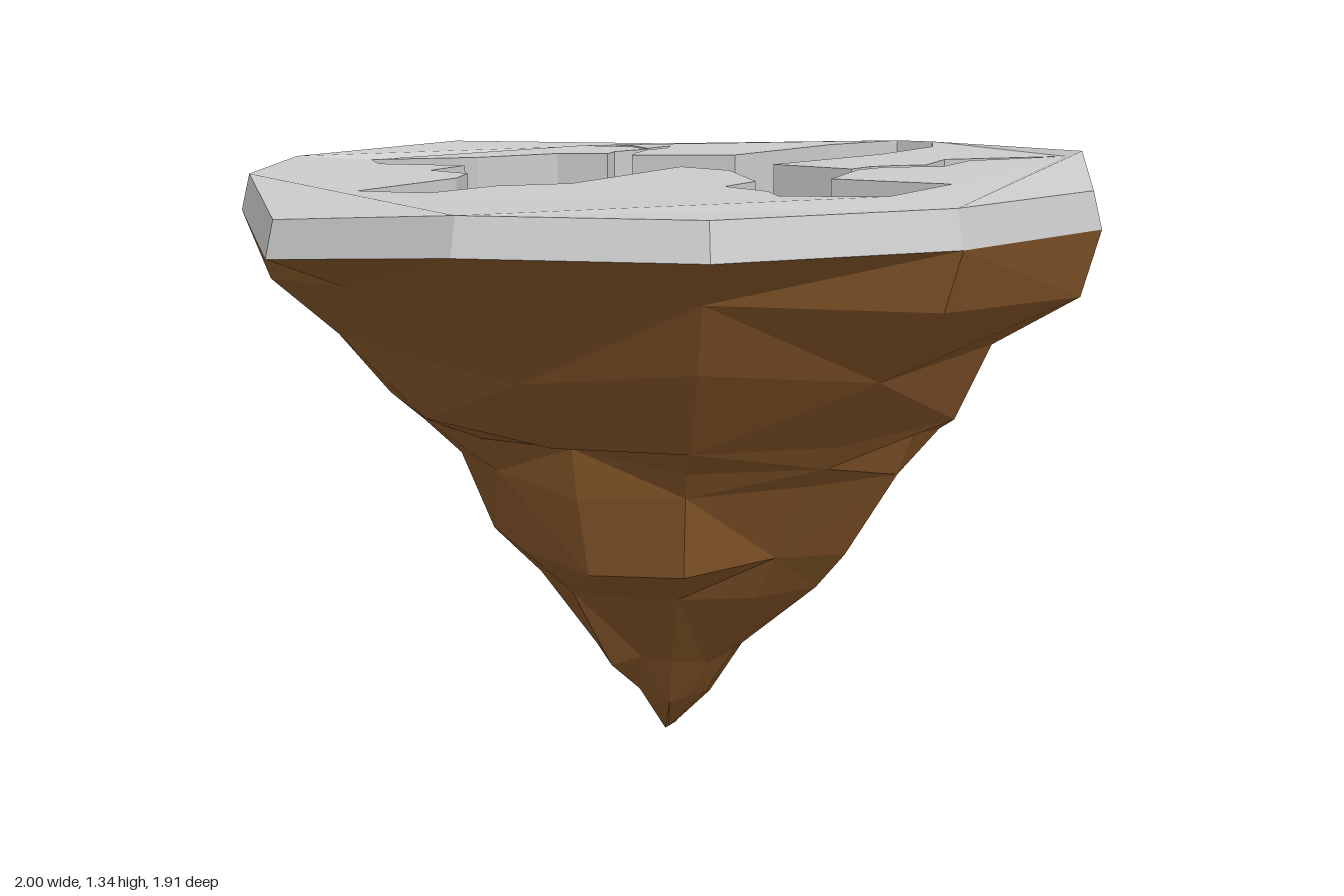
import * as THREE from 'three';

// Rim corners of the top slab: x, top height, z (running from front to right to back to left)
const RIM = [
  [0.03, 1.29, 0.95], [0.51, 1.29, 0.81], [0.87, 1.295, 0.43], [1.0, 1.295, -0.05],
  [0.83, 1.34, -0.51], [0.47, 1.3, -0.94], [0.03, 1.3, -0.96], [-0.45, 1.29, -0.89],
  [-0.88, 1.305, -0.55], [-1.0, 1.3, 0], [-0.81, 1.3, 0.46], [-0.47, 1.25, 0.85],
].map(p => new THREE.Vector3(...p));

// Outline of the sunken channel, x and z
const CHANNEL = [
  [-0.86, -0.14], [-0.62, -0.24], [-0.47, -0.37], [-0.34, -0.385],
  // narrow forked crack
  [-0.35, -0.44], [-0.3, -0.52], [-0.37, -0.575], [-0.52, -0.585], [-0.44, -0.62],
  [-0.38, -0.6], [-0.31, -0.54], [-0.28, -0.61], [-0.265, -0.56], [-0.29, -0.5], [-0.28, -0.42],
  // back arm
  [-0.26, -0.36], [-0.01, -0.41], [0.11, -0.71], [0.23, -0.85], [0.33, -0.83],
  [0.38, -0.7], [0.33, -0.49], [0.18, -0.21], [0.4, -0.14],
  // thin crack towards the rim
  [0.42, -0.2], [0.47, -0.235], [0.53, -0.26], [0.525, -0.39], [0.77, -0.51],
  [0.59, -0.375], [0.58, -0.23], [0.46, -0.2], [0.42, -0.13],
  // front arms
  [0.44, 0.07], [0.73, 0.12], [0.69, 0.37], [0.47, 0.41], [0.41, 0.33], [0.28, 0.26],
  [0.3, 0.15], [0.14, -0.06], [-0.01, -0.12], [-0.08, 0.27], [-0.22, 0.35], [-0.29, 0.51],
  [-0.47, 0.51], [-0.4, 0.22], [-0.43, 0.12], [-0.56, 0.07], [-0.54, -0.05], [-0.78, -0.05],
];
const FLOOR_Y = 1.2;

// Rock levels: height, then reach to the front, right edge (+x), back and other edge (-x)
const LEVELS = [
  [1.09, 0.82, 0.96, 0.94, 0.85],
  [0.94, 0.68, 0.77, 0.82, 0.76],
  [0.79, 0.55, 0.69, 0.7, 0.64],
  [0.73, 0.46, 0.6, 0.62, 0.58],
  [0.65, 0.44, 0.56, 0.55, 0.5],
  [0.47, 0.39, 0.44, 0.39, 0.39],
  [0.39, 0.24, 0.37, 0.31, 0.32],
  [0.2, 0.13, 0.17, 0.17, 0.17],
  [0.1, 0.07, 0.1, 0.09, 0.08],
];

const slopeY = (x, z) => 1.3 + 0.02 * x - 0.02 * z;

const noise = n => {
  const s = Math.sin(n * 12.9898) * 43758.5453;
  return (s - Math.floor(s)) * 2 - 1;
};

// Flat-faced band of quads joining stacked closed loops, listed from top to bottom
function loft(loops) {
  const pos = [];
  for (let k = 0; k < loops.length - 1; k++) {
    const up = loops[k], low = loops[k + 1], n = up.length;
    for (let i = 0; i < n; i++) {
      const j = (i + 1) % n;
      const corners = (i + k) % 2
        ? [low[i], low[j], up[j], low[i], up[j], up[i]]
        : [low[i], low[j], up[i], low[j], up[j], up[i]];
      corners.forEach(p => pos.push(p.x, p.y, p.z));
    }
  }
  const geo = new THREE.BufferGeometry();
  geo.setAttribute('position', new THREE.Float32BufferAttribute(pos, 3));
  geo.computeVertexNormals();
  return geo;
}

// Horizontal sheet from an outline (and optional hole), with heights given by a rule
function sheet(outline, hole, heightAt) {
  const flat = list => list.map(([x, z]) => new THREE.Vector2(x, -z));
  const shape = new THREE.Shape(flat(outline));
  if (hole) shape.holes.push(new THREE.Path(flat(hole)));
  const indexed = new THREE.ShapeGeometry(shape);
  indexed.rotateX(-Math.PI / 2);
  const p = indexed.attributes.position;
  for (let i = 0; i < p.count; i++) p.setY(i, heightAt(p.getX(i), p.getZ(i)));
  const geo = indexed.toNonIndexed();
  geo.computeVertexNormals();
  return geo;
}

export function createModel() {
  const model = new THREE.Group();
  const stone = new THREE.MeshStandardMaterial({
    color: 0xcccccc, flatShading: true, side: THREE.DoubleSide,
  });
  const earth = new THREE.MeshStandardMaterial({
    color: 0x8b5a2b, flatShading: true, side: THREE.DoubleSide,
  });
  const add = (name, geo, mat) => {
    const mesh = new THREE.Mesh(geo, mat);
    mesh.name = name;
    model.add(mesh);
  };

  // Slab edge, slightly narrower at the top
  const rimLow = RIM.map(p => new THREE.Vector3(p.x, p.y - 0.08, p.z));
  const rimTop = RIM.map(p => new THREE.Vector3(p.x * 0.98, p.y, p.z * 0.98));
  add('slabEdge', loft([rimTop, rimLow]), stone);

  // Uneven slab top with the channel cut out
  add('slabTop', sheet(rimTop.map(p => [p.x, p.z]), CHANNEL, (x, z) => {
    const corner = rimTop.find(p => Math.hypot(p.x - x, p.z - z) < 0.01);
    return corner ? corner.y : slopeY(x, z);
  }), stone);

  // Channel walls and floor
  const wallTop = CHANNEL.map(([x, z]) => new THREE.Vector3(x, slopeY(x, z), z));
  const wallLow = CHANNEL.map(([x, z]) => new THREE.Vector3(x, FLOOR_Y, z));
  add('channelWalls', loft([wallTop, wallLow]), stone);
  add('channelFloor', sheet(CHANNEL, null, () => FLOOR_Y), stone);

  // Tapering rock: every third corner sits on an axis, those between are roughened
  const loops = [rimLow];
  LEVELS.forEach(([y, ...reach], k) => {
    const sink = k / LEVELS.length;
    loops.push(RIM.map((p, i) => {
      const q = Math.floor(i / 3), t = (i % 3) / 3;
      const rough = i % 3 ? 0.06 * noise(k * 12 + i + 1) : 0;
      const r = THREE.MathUtils.lerp(reach[q], reach[(q + 1) % 4], t) * (1 + rough);
      const a = Math.atan2(p.x, p.z);
      const dy = 0.025 * noise(k * 31 + i * 7 + 3);
      return new THREE.Vector3(r * Math.sin(a), y + dy, r * Math.cos(a) - 0.03 * sink);
    }));
  });
  loops.push(RIM.map(p => new THREE.Vector3(0, 0, -0.05 + 0.03 * p.z)));
  add('rock', loft(loops), earth);

  return model;
}
